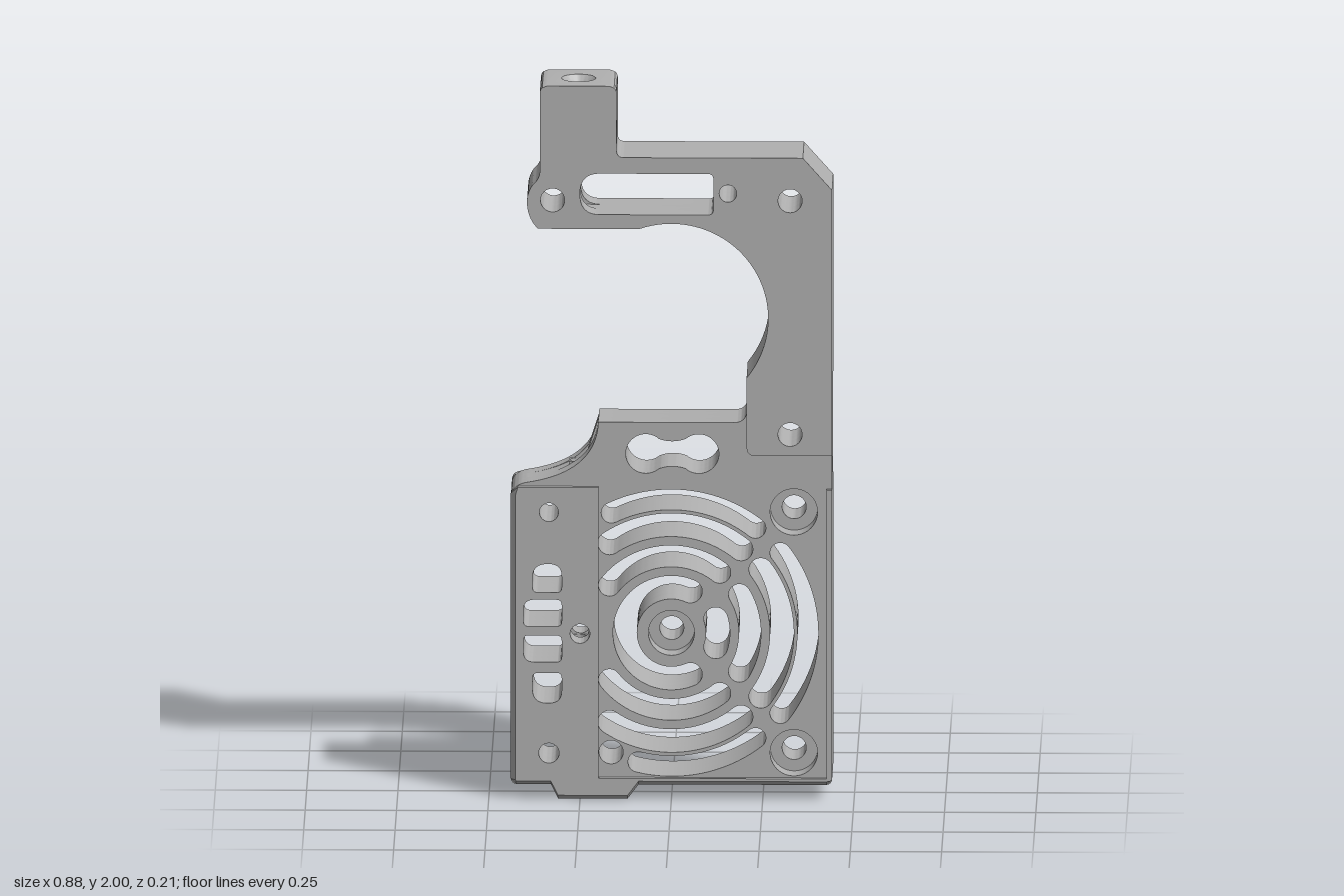
import * as THREE from 'three';
import { toCreasedNormals } from 'three/addons/utils/BufferGeometryUtils.js';

const rad = THREE.MathUtils.degToRad;
const FAN_Y = 0.465, BORE_X = -0.255, BORE = 0.026;

// ---- hole shapes ----
function circle(x, y, r) {
  const p = new THREE.Path();
  p.absarc(x, y, r, 0, Math.PI * 2, false);
  return p;
}
function arcSlot(cx, cy, r0, r1, d0, d1) {
  const p = new THREE.Path(), a = rad(d0), b = rad(d1), m = (r0 + r1) / 2, h = (r1 - r0) / 2;
  p.absarc(cx, cy, r1, a, b, false);
  p.absarc(cx + m * Math.cos(b), cy + m * Math.sin(b), h, b, b + Math.PI, false);
  p.absarc(cx, cy, r0, b, a, true);
  p.absarc(cx + m * Math.cos(a), cy + m * Math.sin(a), h, a + Math.PI, a + Math.PI * 2, false);
  return p;
}
// Rectangle with separate corner radii for bottom and top, left side only or both sides
function roundRect(x0, y0, x1, y1, lb, lt, rb = 0.015, rt = 0.015) {
  const p = new THREE.Path();
  p.moveTo(x0 + lb, y0).lineTo(x1 - rb, y0).quadraticCurveTo(x1, y0, x1, y0 + rb);
  p.lineTo(x1, y1 - rt).quadraticCurveTo(x1, y1, x1 - rt, y1);
  p.lineTo(x0 + lt, y1).quadraticCurveTo(x0, y1, x0, y1 - lt);
  p.lineTo(x0, y0 + lb).quadraticCurveTo(x0, y0, x0 + lb, y0);
  return p;
}
function polygon(points) {
  return new THREE.Shape(points.map(([x, y]) => new THREE.Vector2(x, y)));
}

function fanHoles(counterbored) {
  const holes = [circle(0, FAN_Y, counterbored ? 0.063 : 0.033), circle(-0.165, 0.13, 0.033)];
  for (const y of [0.13, 0.805]) holes.push(circle(0.335, y, counterbored ? 0.065 : 0.033));
  // r0, r1, half angle of right slot, start, top end, bottom end
  const rings = [[0.185, 0.245, 30, 52, 142, 142], [0.27, 0.335, 36, 51, 124, 124], [0.345, 0.402, 37, 52, 116, 104]];
  for (const [r0, r1, right, start, top, bottom] of rings) {
    holes.push(arcSlot(0, FAN_Y, r0, r1, -right, right));
    holes.push(arcSlot(0, FAN_Y, r0, r1, start, top));
    holes.push(arcSlot(0, FAN_Y, r0, r1, -bottom, -start));
  }
  holes.push(arcSlot(0, FAN_Y, 0.095, 0.16, 66, 294), arcSlot(0, FAN_Y, 0.095, 0.16, -18, 18));
  return holes;
}
const sideHoles = () => [
  circle(-0.335, 0.805, 0.026), circle(-0.335, 0.13, 0.028),
  roundRect(-0.38, 0.58, -0.3, 0.66, 0.015, 0.04, 0.015, 0.035),
  roundRect(-0.405, 0.485, -0.3, 0.56, 0.015, 0.03),
  roundRect(-0.405, 0.385, -0.3, 0.46, 0.03, 0.015),
  roundRect(-0.38, 0.27, -0.3, 0.355, 0.04, 0.015, 0.035, 0.015),
];
const boreCrossHole = () => circle(-0.25, 0.465, 0.027);
const screwHoles = () => [circle(0.155, 1.7, 0.024), circle(0.325, 1.68, 0.033), circle(0.325, 1.025, 0.033)];
const armHoles = () => [...screwHoles(), circle(-0.325, 1.68, 0.033), roundRect(-0.25, 1.64, 0.115, 1.755, 0.055, 0.055)];
function neckHole() {
  const p = new THREE.Path();
  p.absarc(0.075, 0.967, 0.055, rad(-130), rad(130), false);
  p.quadraticCurveTo(0.002, 0.995, -0.035, 1.009);
  p.absarc(-0.07, 0.967, 0.055, rad(50), rad(310), false);
  p.quadraticCurveTo(0.002, 0.939, 0.04, 0.925);
  return p;
}
const backGroove = () => arcSlot(0, 1.35, 0.3, 0.385, -30, 55);

// ---- outline pieces ----
function lug(s) {
  s.lineTo(-0.36, 1.82).lineTo(-0.36, 1.76).quadraticCurveTo(-0.36, 1.74, -0.38, 1.722);
  s.quadraticCurveTo(-0.395, 1.7, -0.395, 1.675).quadraticCurveTo(-0.395, 1.63, -0.365, 1.6);
}
function bottomEdge(s) {
  s.lineTo(-0.12, 0).lineTo(-0.09, 0.04).lineTo(0.42, 0.04).quadraticCurveTo(0.44, 0.04, 0.44, 0.06);
}
function bottomLeft(s) {
  s.lineTo(-0.44, 0.06).quadraticCurveTo(-0.44, 0.04, -0.42, 0.04);
  s.lineTo(-0.33, 0.04).lineTo(-0.31, 0);
}
function hookArm(s, split) {
  s.lineTo(0.44, 1.71).lineTo(0.36, 1.8).lineTo(-0.13, 1.8).quadraticCurveTo(-0.15, 1.8, -0.15, 1.82);
  if (split) {
    const x = BORE_X + BORE;
    s.lineTo(x, 1.82).lineTo(x, 1.755).lineTo(0.1, 1.755).quadraticCurveTo(0.115, 1.755, 0.115, 1.74);
    s.lineTo(0.115, 1.655).quadraticCurveTo(0.115, 1.64, 0.1, 1.64).lineTo(x, 1.64).lineTo(x, 1.6);
  } else lug(s);
  s.lineTo(-0.1, 1.6);
  s.absarc(0, 1.35, 0.265, rad(109.4), rad(-39), true);
}
function edgeRecess(s) {
  s.lineTo(0.44, 0.97).lineTo(0.385, 0.97).lineTo(0.385, 1.16).lineTo(0.44, 1.16);
}
function neckTop(s) {
  s.lineTo(0.206, 1.09).quadraticCurveTo(0.206, 1.055, 0.17, 1.055).lineTo(-0.2, 1.055);
}
function fullBody(recess) {
  const s = new THREE.Shape();
  s.moveTo(-0.31, 0);
  bottomEdge(s);
  if (recess) edgeRecess(s);
  hookArm(s, false);
  neckTop(s);
  s.bezierCurveTo(-0.205, 0.94, -0.3, 0.9, -0.4, 0.885).quadraticCurveTo(-0.44, 0.875, -0.44, 0.84);
  bottomLeft(s);
  return s;
}

export function createModel() {
  const group = new THREE.Group();
  const grey = new THREE.MeshStandardMaterial({ color: 0xb0b0b0 });
  grey.name = 'metal grey';

  function add(name, geo) {
    const mesh = new THREE.Mesh(toCreasedNormals(geo, 0.5), grey);
    mesh.name = name;
    group.add(mesh);
    return mesh;
  }
  const extrude = (shape, depth, steps = 1) =>
    new THREE.ExtrudeGeometry(shape, { depth, steps, bevelEnabled: false, curveSegments: 20 });
  // Plate lying between two depths
  function slab(name, shape, holes, z0, z1, rule) {
    shape.holes.push(...holes);
    const geo = extrude(shape, z1 - z0).translate(0, 0, z0);
    if (rule) reshape(geo, rule);
    add(name, geo);
  }
  function reshape(geo, rule) {
    const p = geo.attributes.position, v = new THREE.Vector3();
    for (let i = 0; i < p.count; i++) {
      rule(v.fromBufferAttribute(p, i));
      p.setXYZ(i, v.x, v.y, v.z);
    }
    geo.computeVertexNormals();
  }
  const block = (hx, hz, hole) => {
    const s = polygon([[-hx, -hz], [hx, -hz], [hx, hz], [-hx, hz]]);
    s.holes.push(circle(0, 0, hole));
    return s;
  };
  const upright = (shape, y0, y1, steps) =>
    extrude(shape, y1 - y0, steps).rotateX(-Math.PI / 2).translate(BORE_X, y0, 0);

  // Front frame with chamfered outer edges, around a shallow fan recess
  const frame = polygon([[-0.31, 0], [-0.12, 0], [-0.09, 0.04], [0.425, 0.04], [0.44, 0.055], [0.44, 0.87],
    [0.425, 0.87], [0.425, 0.06], [-0.2, 0.06], [-0.2, 0.875], [-0.42, 0.875], [-0.44, 0.855],
    [-0.44, 0.055], [-0.425, 0.04], [-0.33, 0.04]]);
  slab('frontFrame', frame, [...sideHoles(), boreCrossHole()], 0.09, 0.105, (v) => {
    if (v.z < 0.1) return;
    if (v.x < -0.43) v.x += 0.014;
    if (v.y < 0.045) v.y += 0.012;
  });

  // Raised front face of the hook arm
  const frontArm = new THREE.Shape();
  frontArm.moveTo(0.23, 0.965).lineTo(0.44, 0.965);
  hookArm(frontArm, false);
  frontArm.lineTo(0.206, 0.99).quadraticCurveTo(0.206, 0.965, 0.23, 0.965);
  slab('frontArm', frontArm, armHoles(), 0.09, 0.105);

  // Main body plates in front of and behind the drilled middle
  const common = () => [...sideHoles(), boreCrossHole(), ...armHoles(), neckHole()];
  slab('frontBody', fullBody(false), [...common(), ...fanHoles(true)], BORE, 0.09);
  slab('backBody', fullBody(false), [...common(), ...fanHoles(false)], -0.055, -BORE);
  slab('groovedBody', fullBody(true), [...common(), ...fanHoles(false), backGroove()], -0.08, -0.055);

  // Middle layer, divided by the long vertical bore
  const middle = new THREE.Shape(), xr = BORE_X + BORE, xl = BORE_X - BORE;
  middle.moveTo(xr, 0);
  bottomEdge(middle);
  hookArm(middle, true);
  neckTop(middle);
  middle.lineTo(xr, 0.965).lineTo(xr, 0);
  slab('middleBody', middle, [...screwHoles(), neckHole(), ...fanHoles(false)], -BORE, BORE);

  const strip = new THREE.Shape(), sideBores = [0.7, 0.235];
  strip.moveTo(xl, 0).lineTo(xl, 0.92).quadraticCurveTo(-0.33, 0.895, -0.4, 0.885);
  strip.quadraticCurveTo(-0.44, 0.875, -0.44, 0.84);
  for (const y of sideBores) {
    strip.lineTo(-0.44, y + BORE).lineTo(-0.31, y + BORE).lineTo(-0.31, y - BORE).lineTo(-0.44, y - BORE);
  }
  bottomLeft(strip);
  slab('middleStrip', strip, sideHoles(), -BORE, BORE);

  const middleLug = new THREE.Shape();
  middleLug.moveTo(xl, 1.6).lineTo(xl, 1.82);
  lug(middleLug);
  slab('middleLug', middleLug, [circle(-0.325, 1.68, 0.033)], -BORE, BORE);

  // Round sleeves lining the vertical bore and the side bores
  for (const [y0, y1] of [[0, 0.435], [0.495, 0.93], [1.6, 1.64], [1.755, 1.82]]) {
    add('boreSleeve', upright(block(BORE, BORE, 0.024), y0, y1));
  }
  for (const y of sideBores) {
    add('sideBoreSleeve', extrude(block(BORE, BORE, 0.024), 0.13).rotateY(Math.PI / 2).translate(-0.44, y, 0));
  }

  // Back faces of the fan plate and hook arm, leaving a channel between them
  const backPlate = new THREE.Shape();
  backPlate.moveTo(-0.31, 0);
  bottomEdge(backPlate);
  backPlate.lineTo(0.44, 0.875).lineTo(-0.41, 0.875).quadraticCurveTo(-0.44, 0.875, -0.44, 0.845);
  bottomLeft(backPlate);
  slab('backPlate', backPlate, [...sideHoles(), boreCrossHole(), ...fanHoles(false)], -0.105, -0.08);
  const backArm = new THREE.Shape();
  backArm.moveTo(0.206, 0.97).lineTo(0.385, 0.97).lineTo(0.385, 1.16).lineTo(0.44, 1.16);
  hookArm(backArm, false);
  backArm.lineTo(0.206, 0.97);
  slab('backArm', backArm, [...armHoles(), backGroove()], -0.105, -0.08);

  // Tower: two cross-drilled cheeks, a bored core and a countersunk cap
  for (const side of [-1, 1]) {
    const a = BORE, b = 0.105;
    const cheek = polygon([[a, 1.82], [b, 1.82], [b, 1.92], [a, 1.92]].map(([z, y]) => [side * z, y]));
    cheek.holes.push(circle(side * 0.063, 1.865, 0.033));
    add('towerCheek', extrude(cheek, 0.21).rotateY(Math.PI / 2).translate(-0.36, 0, 0));
  }
  add('towerCore', upright(block(0.105, BORE, 0.024), 1.82, 1.92));
  const cap = upright(block(0.105, 0.105, 0.024), 1.92, 2, 16);
  reshape(cap, (v) => {
    const dx = v.x - BORE_X, t = v.y - 1.98;
    if (Math.abs(dx) > 0.1) {
      if (t > 0) v.x = BORE_X + Math.sign(dx) * (0.085 + Math.sqrt(Math.max(0, 0.0004 - t * t)));
    } else {
      const k = 1 + Math.max(0, v.y - 1.975) * 0.92 / 0.024;
      v.x = BORE_X + dx * k;
      v.z *= k;
    }
  });
  add('towerCap', cap);
  return group;
}
